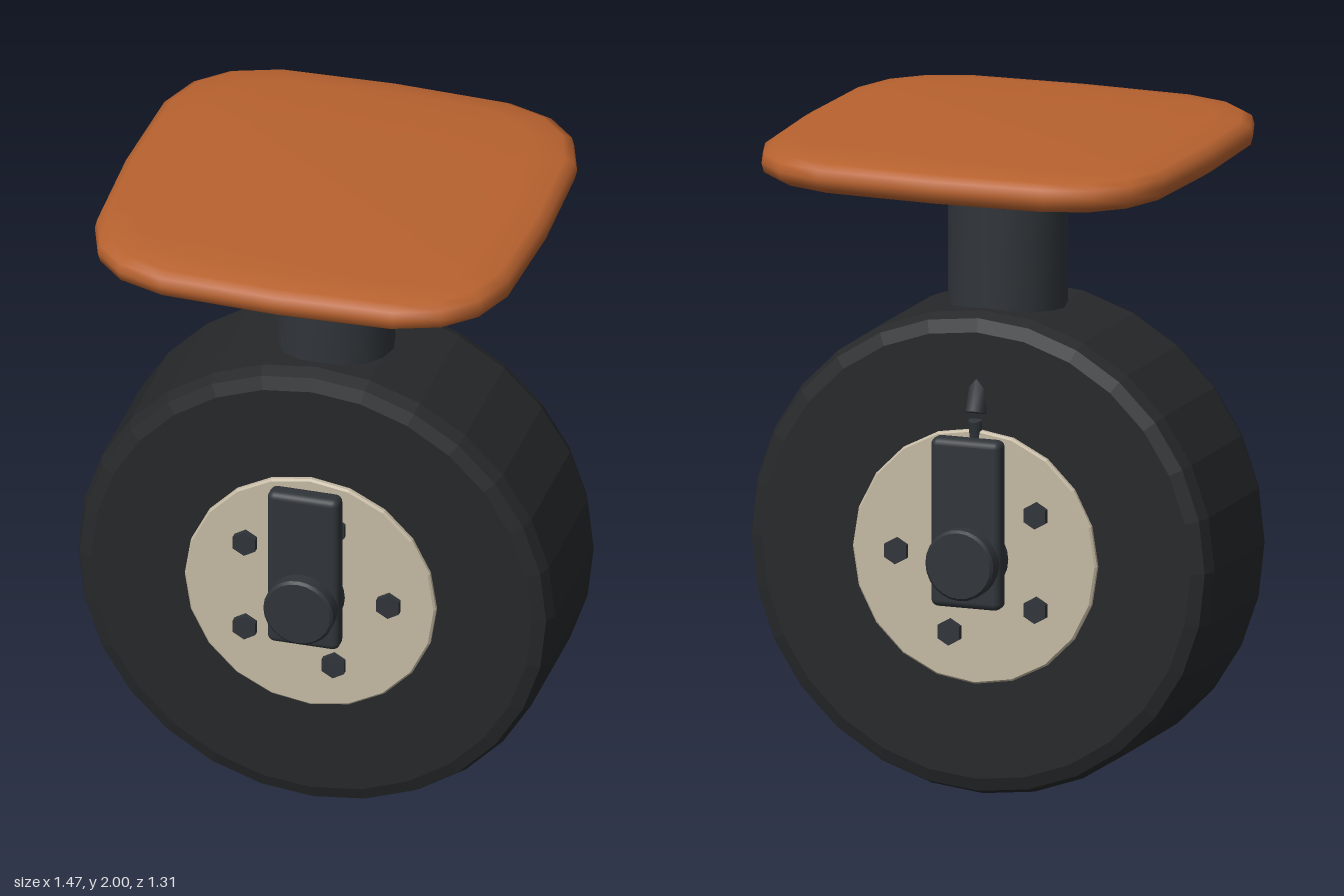
import * as THREE from 'three';
import { toCreasedNormals } from 'three/addons/utils/BufferGeometryUtils.js';
import { RoundedBoxGeometry } from 'three/addons/geometries/RoundedBoxGeometry.js';

const AXLE_Y = 0.74;
const material = (color, flatShading = false) => new THREE.MeshStandardMaterial({ color, flatShading });

function addMesh(parent, name, geometry, mat, x = 0, y = 0, z = 0) {
  const mesh = new THREE.Mesh(geometry, mat);
  mesh.name = name;
  mesh.position.set(x, y, z);
  parent.add(mesh);
  return mesh;
}

// Solid of revolution about the z axis, from [radius, z] pairs
function turned(profile, sides) {
  const geometry = new THREE.LatheGeometry(profile.map(([r, z]) => new THREE.Vector2(r, z)), sides);
  return geometry.rotateX(Math.PI / 2);
}

// Cylinder between two points
function rod(a, b, radius, sides) {
  const from = new THREE.Vector3(...a), to = new THREE.Vector3(...b);
  const dir = to.clone().sub(from);
  const geometry = new THREE.CylinderGeometry(radius, radius, dir.length(), sides);
  geometry.applyQuaternion(new THREE.Quaternion().setFromUnitVectors(new THREE.Vector3(0, 1, 0), dir.normalize()));
  const mid = from.add(to).multiplyScalar(0.5);
  return geometry.translate(mid.x, mid.y, mid.z);
}

// Cushion-shaped plate: a rounded-square outline scaled along an edge profile
function plateGeometry() {
  const quarter = [[0.655, 0], [0.64, 0.36], [0.59, 0.5], [0.5, 0.59], [0.36, 0.64]];
  const outline = [];
  for (let q = 0; q < 4; q++) {
    for (const [x, z] of quarter) {
      const c = [1, 0, -1, 0][q], s = [0, 1, 0, -1][q];
      outline.push([x * c - z * s, x * s + z * c]);
    }
  }
  const profile = [[0, 2], [0.5, 2], [0.83, 1.995], [0.95, 1.982], [0.99, 1.965], [1, 1.938],
    [0.99, 1.91], [0.95, 1.893], [0.83, 1.88], [0.5, 1.875], [0, 1.875]];
  const n = outline.length;
  const positions = [], index = [];
  for (const [scale, y] of profile) {
    for (const [x, z] of outline) positions.push(x * scale, y, z * scale);
  }
  for (let r = 0; r < profile.length - 1; r++) {
    for (let i = 0; i < n; i++) {
      const a = r * n + i, b = r * n + (i + 1) % n, c = a + n, d = b + n;
      if (r > 0) index.push(a, b, c);
      if (r < profile.length - 2) index.push(b, d, c);
      else index.push(a, b, c);
    }
  }
  // Centre fans share one pole vertex per side
  const last = (profile.length - 1) * n;
  const merged = index.map((i) => (i < n ? 0 : i >= last ? last : i));
  const geometry = new THREE.BufferGeometry();
  geometry.setAttribute('position', new THREE.Float32BufferAttribute(positions, 3));
  const clean = [];
  for (let i = 0; i < merged.length; i += 3) {
    const [a, b, c] = merged.slice(i, i + 3);
    if (a !== b && b !== c && a !== c) clean.push(a, b, c);
  }
  // Wind every triangle outward from the plate's middle
  const p = (i) => new THREE.Vector3().fromArray(positions, i * 3);
  const centre = new THREE.Vector3(0, 1.9375, 0);
  for (let i = 0; i < clean.length; i += 3) {
    const a = p(clean[i]), b = p(clean[i + 1]), c = p(clean[i + 2]);
    const normal = b.clone().sub(a).cross(c.clone().sub(a));
    if (normal.dot(a.add(b).add(c).divideScalar(3).sub(centre)) < 0) {
      [clean[i + 1], clean[i + 2]] = [clean[i + 2], clean[i + 1]];
    }
  }
  geometry.setIndex(clean);
  geometry.computeVertexNormals();
  return geometry;
}

export function createModel() {
  const model = new THREE.Group();
  model.name = 'casterWheel';
  const rubber = material(0x26282a, true);
  const metal = material(0x30353a);
  const cream = material(0xc4b9a3, true);
  const orange = material(0xb8622f);

  // Mounting plate and post
  addMesh(model, 'mountingPlate', plateGeometry(), orange);
  const post = new THREE.CylinderGeometry(0.178, 0.178, 0.6, 16);
  addMesh(model, 'post', toCreasedNormals(post, 0.7), metal, 0, 1.6, 0);

  // Tyre with rounded shoulders
  const tyre = [[0, -0.26], [0.68, -0.26], [0.72, -0.245], [0.736, -0.205],
    [0.736, 0.205], [0.72, 0.245], [0.68, 0.26], [0, 0.26]];
  addMesh(model, 'tyre', turned(tyre, 28), rubber, 0, AXLE_Y, 0);

  // Axle running through both arms
  const axle = [[0, -0.408], [0.1, -0.408], [0.108, -0.4], [0.108, 0.4], [0.1, 0.408], [0, 0.408]];
  addMesh(model, 'axle', toCreasedNormals(turned(axle, 24), 0.6), metal, 0, AXLE_Y, 0);

  for (const side of [1, -1]) {
    const group = new THREE.Group();
    group.name = side > 0 ? 'frontHub' : 'backHub';
    model.add(group);

    // Hub disc with a small edge bevel
    const disc = [[0, -0.02], [0.388, -0.02], [0.388, 0.014], [0.382, 0.02], [0, 0.02]];
    const discGeometry = turned(disc, 20);
    if (side < 0) discGeometry.rotateY(Math.PI);
    addMesh(group, 'hubDisc', discGeometry, cream, 0, AXLE_Y, side * 0.257);

    // Five hexagonal bolts
    for (let i = 0; i < 5; i++) {
      const a = i * Math.PI * 0.4;
      const bolt = new THREE.CylinderGeometry(0.04, 0.04, 0.05, 6).rotateX(Math.PI / 2);
      addMesh(group, 'bolt', toCreasedNormals(bolt, 0.5), metal,
        0.245 * Math.cos(a), AXLE_Y + 0.245 * Math.sin(a), side * 0.271);
    }

    // Side arm
    addMesh(group, 'arm', new RoundedBoxGeometry(0.222, 0.515, 0.064, 3, 0.022), metal, 0, 0.855, side * 0.328);
  }

  // Inflation valve on the back
  const stem = rod([0, 1.09, -0.26], [0, 1.155, -0.272], 0.021, 8);
  addMesh(model, 'valveStem', toCreasedNormals(stem, 0.9), metal);
  const cap = rod([0, 1.175, -0.264], [0, 1.27, -0.228], 0.033, 8);
  addMesh(model, 'valveCap', toCreasedNormals(cap, 0.9), metal);
  return model;
}
